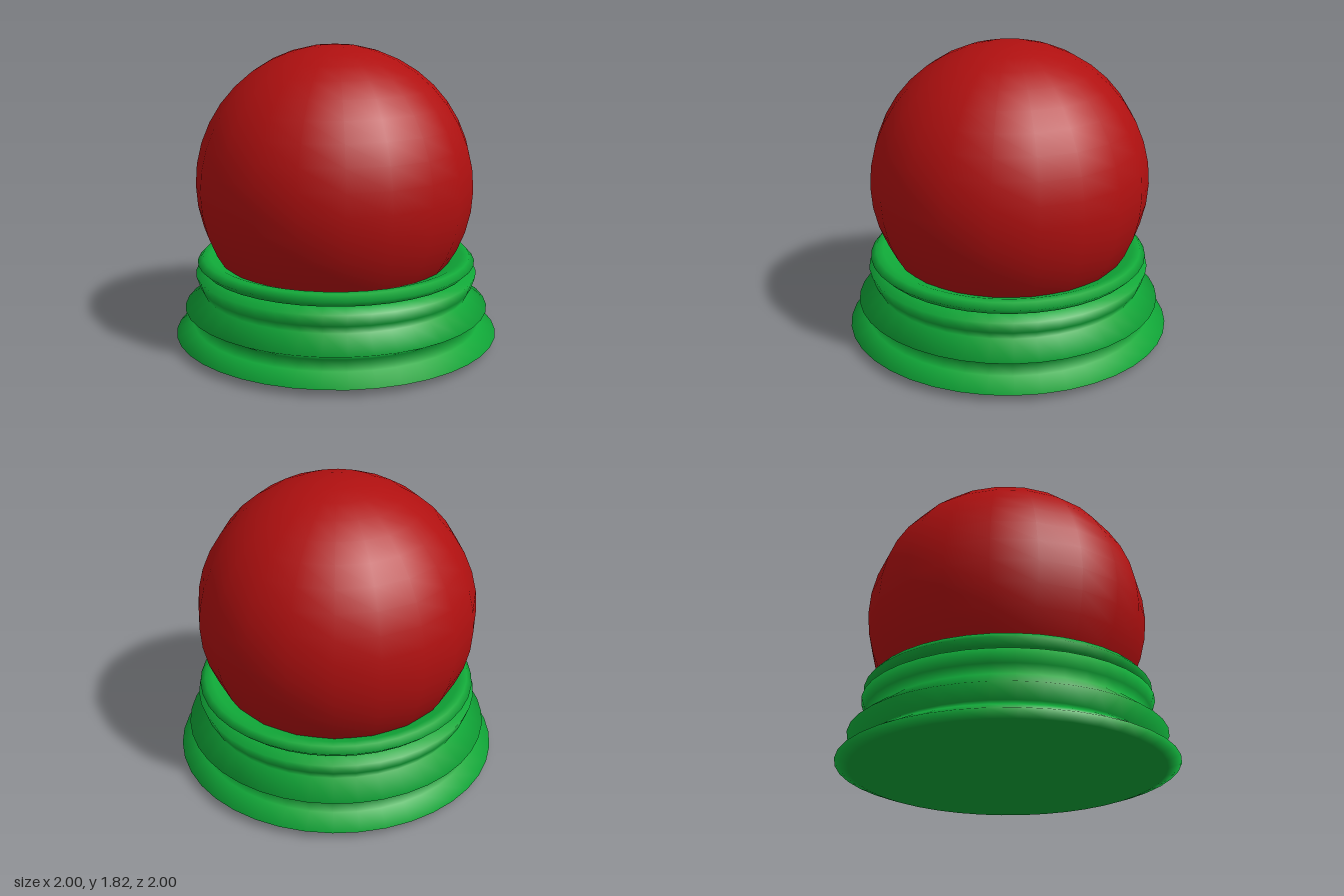
import * as THREE from 'three';

export function createModel() {
  const group = new THREE.Group();

  // Globe, resting in the top rim of the stand
  const globe = new THREE.Mesh(
    new THREE.SphereGeometry(0.85, 20, 20),
    new THREE.MeshStandardMaterial({ color: 0xb01010 })
  );
  globe.name = 'globe';
  globe.position.set(-0.008, 0.965, -0.006);
  group.add(globe);

  // Turned stand: closed underside, foot, middle bead, collar, neck and rim
  const profile = [
    [0, 0], [0.7, 0], [0.92, 0.015], [1, 0.045],
    [0.89, 0.105], [0.83, 0.15], [0.94, 0.21], [0.82, 0.3],
    [0.845, 0.35], [0.87, 0.425], [0.77, 0.443], [0.77, 0.452],
    [0.82, 0.458], [0.857, 0.495], [0.825, 0.53], [0.78, 0.53], [0.69, 0.495],
  ].map(([r, y]) => new THREE.Vector2(r, y));
  const stand = new THREE.Mesh(
    new THREE.LatheGeometry(profile, 40),
    new THREE.MeshStandardMaterial({ color: 0x10a838, side: THREE.DoubleSide })
  );
  stand.name = 'stand';
  group.add(stand);

  return group;
}
